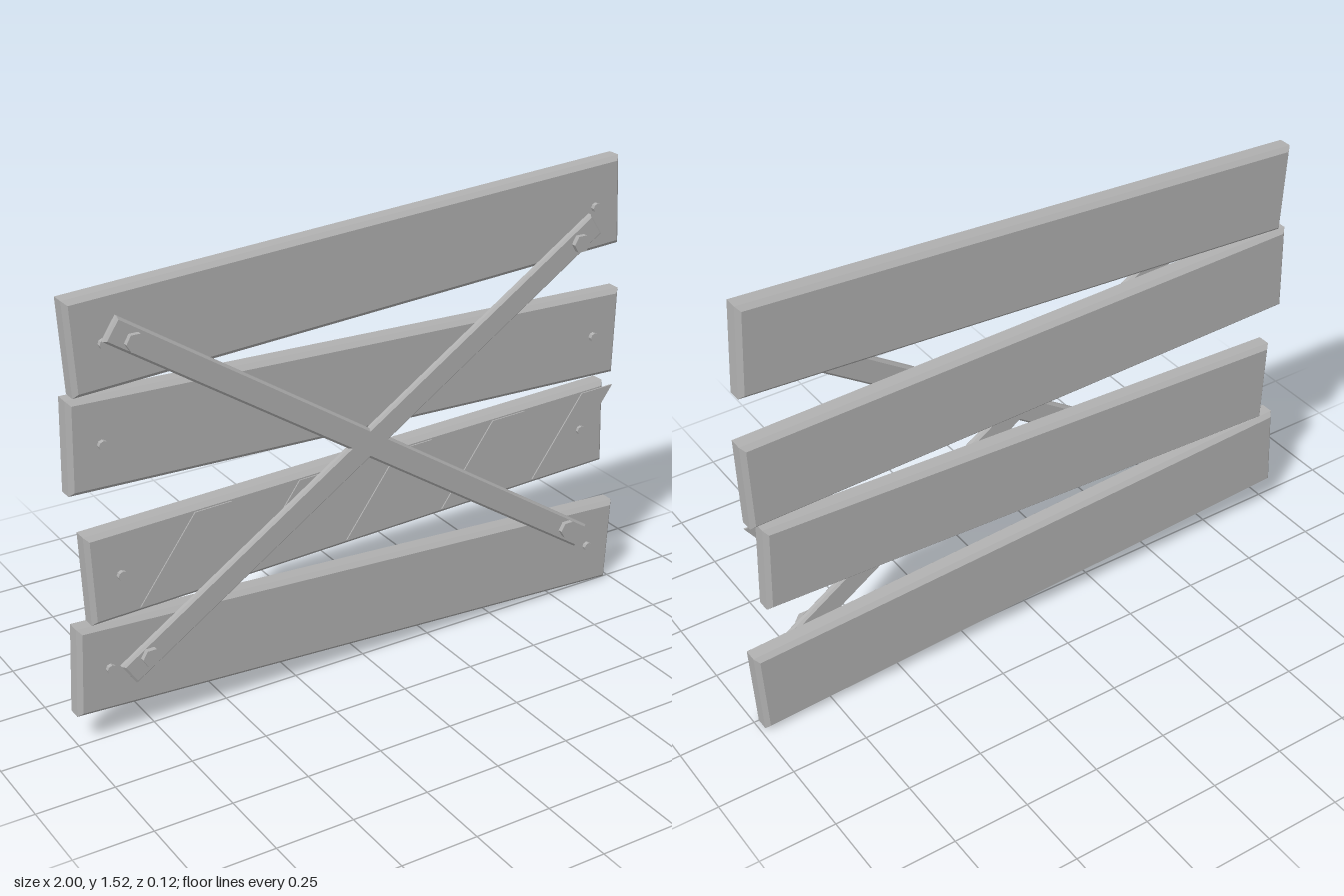
import * as THREE from 'three';

const gray = new THREE.MeshStandardMaterial({ color: 0xb0b0b0, flatShading: true });
gray.name = 'plain gray';

// Board with chamfered edges, its front face at z = front
function board(name, length, height, depth, bevel, front) {
  const x = length / 2 - bevel, y = height / 2 - bevel;
  const outline = new THREE.Shape([[-x, -y], [x, -y], [x, y], [-x, y]].map(p => new THREE.Vector2(...p)));
  const geo = new THREE.ExtrudeGeometry(outline, {
    depth: depth - 2 * bevel, bevelEnabled: true, bevelSize: bevel, bevelThickness: bevel, bevelSegments: 1,
  });
  geo.translate(0, 0, front - depth + bevel);
  const mesh = new THREE.Mesh(geo, gray);
  mesh.name = name;
  return mesh;
}

// Round or hexagonal head facing forward
function head(name, x, y, back, front, radius, sides) {
  const geo = new THREE.CylinderGeometry(radius, radius, front - back, sides);
  geo.rotateY(Math.PI / 2).rotateX(Math.PI / 2);
  const mesh = new THREE.Mesh(geo, gray);
  mesh.name = name;
  mesh.position.set(x, y, (front + back) / 2);
  return mesh;
}

// Thin slanted stripe plate
function stripe(x) {
  const h = 0.128, lean = 0.1, w = 0.062;
  const outline = new THREE.Shape([[-lean - w, -h], [-lean + w, -h], [lean + w, h], [lean - w, h]]
    .map(p => new THREE.Vector2(...p)));
  const mesh = new THREE.Mesh(new THREE.ExtrudeGeometry(outline, { depth: 0.005, bevelEnabled: false }), gray);
  mesh.name = 'stripe';
  mesh.position.set(x, 0, 0.013);
  return mesh;
}

export function createModel() {
  const model = new THREE.Group();
  model.name = 'plankBarricade';

  // Crooked planks: centre x, centre y, length, tilt in degrees
  const planks = [
    [0, 1.326, 1.912, 3.1],
    [-0.002, 0.954, 1.946, -1.55],
    [-0.002, 0.58, 1.874, 2],
    [0, 0.205, 1.985, -2.95],
  ];
  planks.forEach(([x, y, length, tilt], i) => {
    const plank = new THREE.Group();
    plank.name = 'plank' + (i + 1);
    plank.position.set(x, y, 0);
    plank.rotation.z = THREE.MathUtils.degToRad(tilt);
    plank.add(board('plankBoard', length, 0.293, 0.07, 0.014, 0.014));
    for (const s of [-1, 1]) plank.add(head('nail', s * (length / 2 - 0.102), 0, 0.01, 0.028, 0.015, 8));
    // Slanted stripes on the third plank
    if (i === 2) for (let k = 0; k < 5; k++) plank.add(stripe(-0.623 + k * 0.357));
    model.add(plank);
  });

  // Crossed braces with hexagonal bolts
  for (const s of [-1, 1]) {
    const brace = board('brace', 2.01, 0.082, 0.026, 0.007, 0.046);
    brace.position.y = 0.775;
    brace.rotation.z = s * THREE.MathUtils.degToRad(33.3);
    model.add(brace);
    for (const y of [0.272, 1.278]) model.add(head('bolt', s * 0.773, y, 0.04, 0.062, 0.03, 6));
  }
  return model;
}
